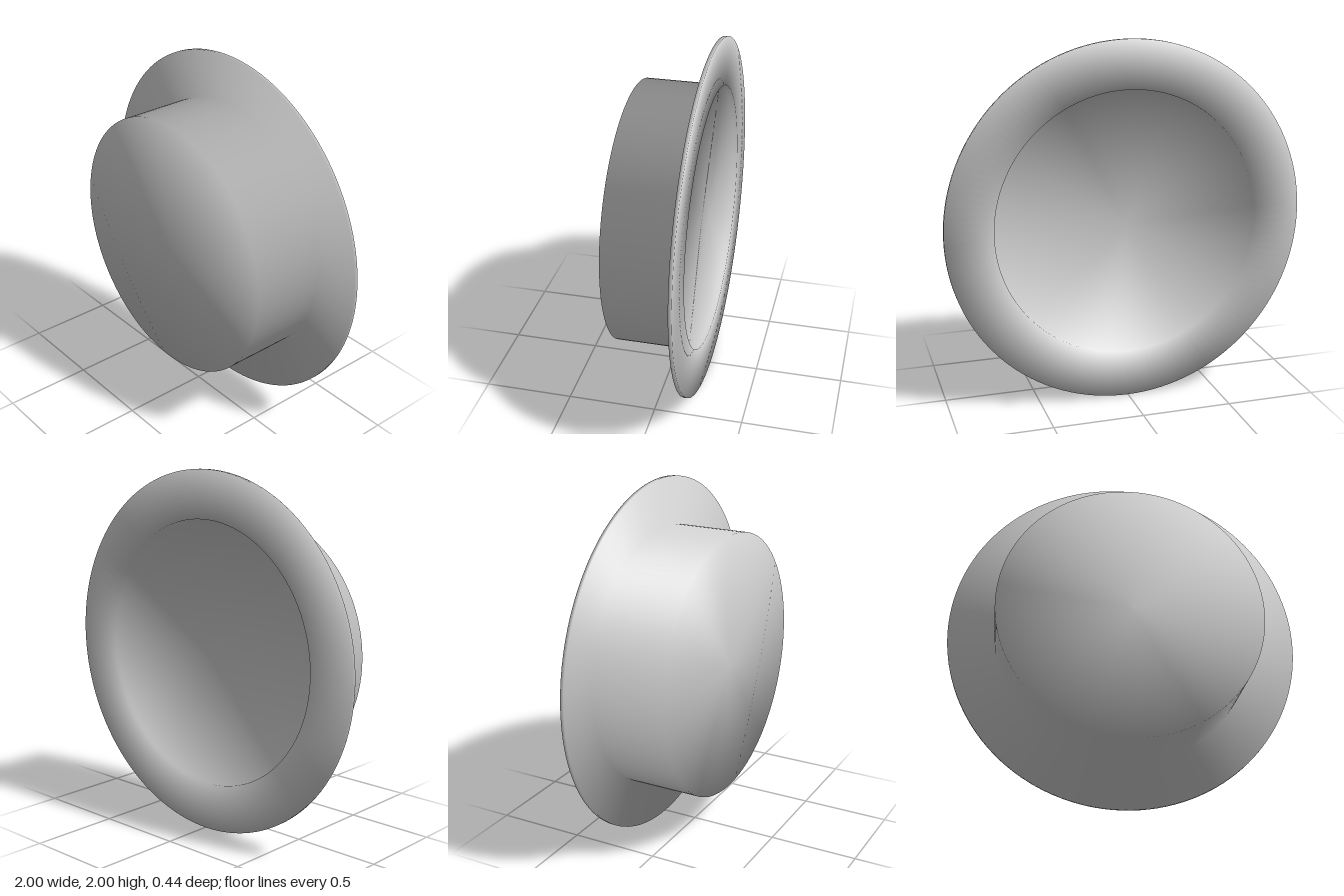
import * as THREE from 'three';

const SEGMENTS = 128;

// Profile as (radius, depth): shallow back recess, flange, drum wall, front face
const PROFILE = [
  [0, -0.195], [0.735, -0.195], [0.735, -0.22], [1, -0.22],
  [1, -0.2], [0.737, -0.2], [0.737, 0.22], [0, 0.22],
].map(([r, d]) => new THREE.Vector2(r, d));

// Smooth profile normal: equal mix of the two neighbouring segments
function profileNormal(j) {
  const sum = new THREE.Vector2();
  for (const k of [j - 1, j]) {
    if (k < 0 || k >= PROFILE.length - 1) continue;
    const d = PROFILE[k + 1].clone().sub(PROFILE[k]).normalize();
    sum.add(new THREE.Vector2(d.y, -d.x));
  }
  return sum.normalize();
}

export function createModel() {
  const group = new THREE.Group();
  group.name = 'flangedDrum';

  // Solid round drum with a thin wide flange standing slightly proud of its back
  const geometry = new THREE.LatheGeometry(PROFILE, SEGMENTS);
  const normals = geometry.attributes.normal;
  const rim = PROFILE.map((_, j) => profileNormal(j));
  for (let i = 0; i <= SEGMENTS; i++) {
    const a = (i / SEGMENTS) * Math.PI * 2;
    rim.forEach((n, j) => {
      normals.setXYZ(i * rim.length + j, n.x * Math.sin(a), n.y, n.x * Math.cos(a));
    });
  }
  geometry.rotateX(Math.PI / 2);

  const drum = new THREE.Mesh(geometry, new THREE.MeshStandardMaterial({ color: 0xcccccc }));
  drum.name = 'drumAndFlange';
  drum.position.y = 1;
  group.add(drum);
  return group;
}
